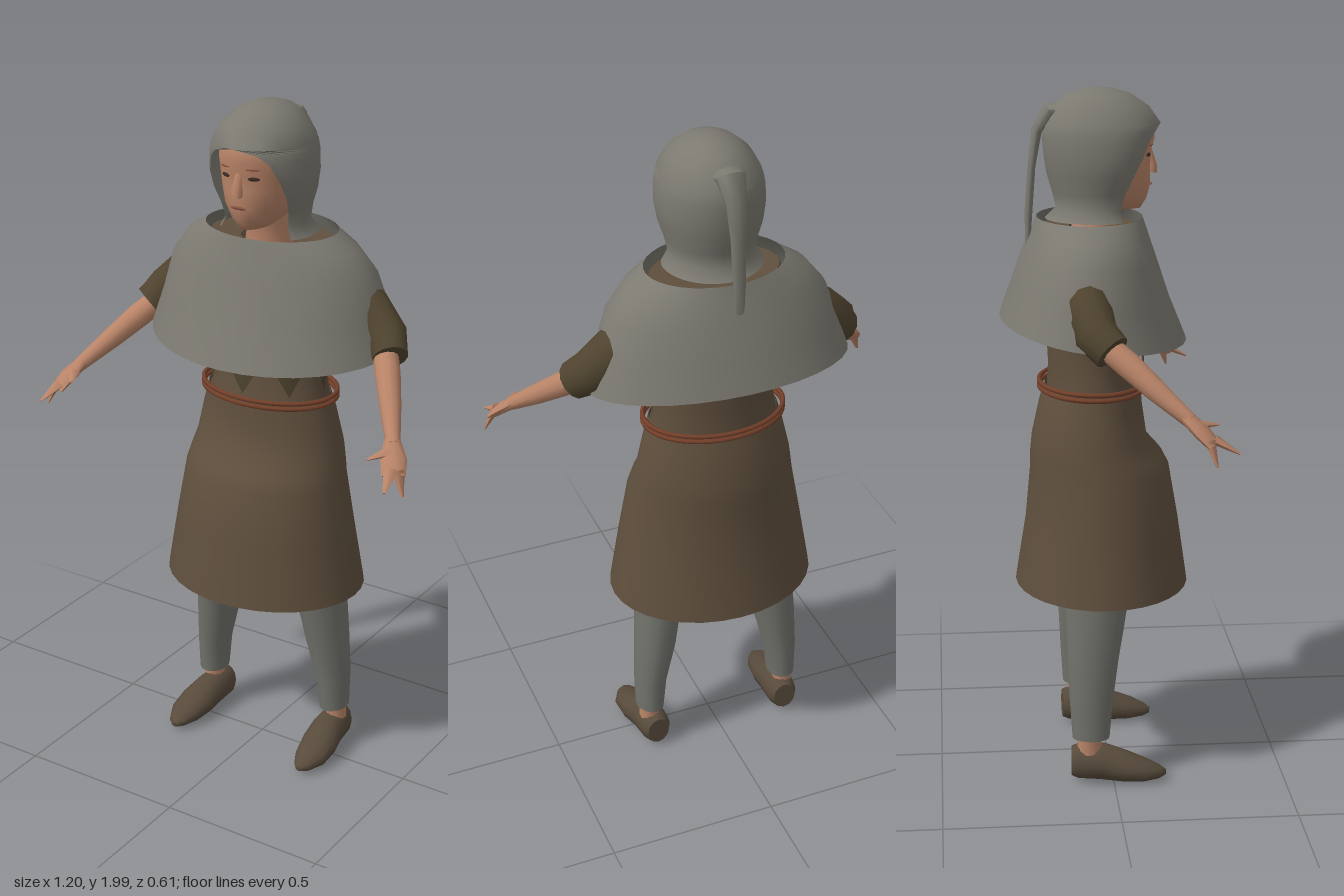
import * as THREE from 'three';
import { toCreasedNormals } from 'three/addons/utils/BufferGeometryUtils.js';

const V = (x, y, z) => new THREE.Vector3(x, y, z);

function material(name, color) {
  const m = new THREE.MeshStandardMaterial({ color, side: THREE.DoubleSide });
  m.name = name;
  return m;
}

// Skin a surface over rows of points; closed rows wrap around.
function loft(rows, closed = true, crease = 1.0) {
  const n = rows[0].length, pos = [], idx = [];
  rows.forEach(r => r.forEach(p => pos.push(p.x, p.y, p.z)));
  const tri = (a, b, c) => {
    const [p, q, r] = [a, b, c].map(i => V().fromArray(pos, i * 3));
    if (q.sub(p).cross(r.sub(p)).length() > 1e-9) idx.push(a, b, c);
  };
  for (let j = 0; j < rows.length - 1; j++) {
    for (let i = 0; i < (closed ? n : n - 1); i++) {
      const k = (i + 1) % n, a = j * n + i, b = j * n + k;
      tri(a, b, a + n);
      tri(b, b + n, a + n);
    }
  }
  const g = new THREE.BufferGeometry();
  g.setAttribute('position', new THREE.Float32BufferAttribute(pos, 3));
  g.setIndex(idx);
  return toCreasedNormals(g, crease);
}

// Horizontal oval with its own front and back depth; open leaves a gap at the front.
function oval([y, cz, rx, front, back, open = 0, tilt = 0], n = 32, closed = true) {
  return Array.from({ length: n }, (_, i) => {
    const a = open + (i / (closed ? n : n - 1)) * (2 * Math.PI - 2 * open);
    const c = Math.cos(a);
    return V(rx * Math.sin(a), y - tilt * c, cz + (c > 0 ? front : back) * c);
  });
}
const body = (specs) => loft(specs.map(s => oval(s)));

// Tapered limb along points [x, y, z, radius1, radius2], with closed ends.
function limb(points, ref, n = 12) {
  const p = points.map(q => V(q[0], q[1], q[2]));
  const rows = p.map((c, i) => {
    const t = p[Math.min(i + 1, p.length - 1)].clone().sub(p[Math.max(i - 1, 0)]).normalize();
    const s = ref.clone().cross(t).normalize(), u = t.clone().cross(s);
    return Array.from({ length: n }, (_, k) => {
      const a = (k / n) * 2 * Math.PI;
      return c.clone().addScaledVector(s, Math.cos(a) * points[i][3])
        .addScaledVector(u, Math.sin(a) * points[i][4]);
    });
  });
  rows.unshift(Array(n).fill(p[0]));
  rows.push(Array(n).fill(p[p.length - 1]));
  return loft(rows);
}

export function createModel() {
  const model = new THREE.Group();
  model.name = 'hoodedFigure';
  const grey = material('grey wool', 0x7b7970);
  const brown = material('brown tunic', 0x5f4f3d);
  const dark = material('dark brown sleeve', 0x50442f);
  const skin = material('skin', 0xb98468);
  const hose = material('grey hose', 0x72726c);
  const leather = material('shoe leather', 0x584b3c);
  const red = material('belt leather', 0x74402a);
  const eyeDark = material('eye', 0x3a2a24);
  const lip = material('lip', 0x84503f);
  const add = (name, geometry, mat) => {
    const m = new THREE.Mesh(geometry, mat);
    m.name = name;
    model.add(m);
    return m;
  };
  const X = V(1, 0, 0), Y = V(0, 1, 0);

  // Tunic: skirt and torso
  add('tunicSkirt', body([
    [0.565, -0.02, 0.308, 0.255, 0.25], [0.75, -0.02, 0.277, 0.228, 0.22],
    [0.91, -0.02, 0.248, 0.2, 0.205], [0.95, -0.03, 0.24, 0.19, 0.195],
    [1.0, -0.04, 0.23, 0.155, 0.18], [1.1, -0.04, 0.207, 0.14, 0.158],
    [1.16, -0.04, 0.19, 0.135, 0.14],
  ]), brown);
  add('tunicTorso', body([
    [1.14, -0.04, 0.188, 0.13, 0.135], [1.22, -0.04, 0.175, 0.11, 0.13],
    [1.32, -0.04, 0.18, 0.11, 0.135], [1.45, -0.05, 0.21, 0.12, 0.13],
    [1.56, -0.05, 0.21, 0.12, 0.13], [1.615, -0.05, 0.185, 0.13, 0.13],
    [1.61, -0.04, 0.085, 0.075, 0.07],
  ]), brown);

  // Pointed lining hanging below the cape at the front
  const liningRows = [[1.18, -0.04, 0.185, 0.145, 0.14], [1.32, -0.04, 0.19, 0.15, 0.14],
    [1.42, -0.05, 0.215, 0.15, 0.14]].map(s => oval(s, 32));
  liningRows[0].forEach((p, i) => {
    if (i % 4) p.y = i % 4 === 2 ? 1.3 : 1.24;
    if (p.z < -0.04) p.y = 1.31;
  });
  add('pointedLining', loft(liningRows), dark);

  // Double belt cord
  [1.15, 1.166].forEach((y, i) => {
    const pts = oval([y, -0.04, 0.208, 0.148, 0.156], 24);
    const curve = new THREE.CatmullRomCurve3(pts, true);
    add('beltCord' + (i + 1), new THREE.TubeGeometry(curve, 48, 0.007, 6, true), red);
  });

  // Shoulder cape, lower at the front than at the back
  add('shoulderCape', body([
    [1.325, -0.08, 0.385, 0.305, 0.228, 0, 0.033], [1.43, -0.075, 0.35, 0.252, 0.2, 0, 0.02],
    [1.53, -0.065, 0.32, 0.205, 0.178, 0, 0.008], [1.6, -0.055, 0.265, 0.168, 0.16],
    [1.64, -0.05, 0.2, 0.15, 0.15],
  ]), grey);

  // Neck, head and nose
  add('neck', limb([[0, 1.56, -0.04, 0.075, 0.075], [0, 1.64, -0.03, 0.06, 0.06],
    [0, 1.72, -0.01, 0.06, 0.06]], X), skin);
  add('head', body([
    [1.655, 0.02, 0.002, 0.03, 0.002], [1.662, 0.01, 0.04, 0.085, 0.04],
    [1.69, 0, 0.07, 0.112, 0.08], [1.73, 0, 0.093, 0.122, 0.1], [1.78, 0, 0.106, 0.122, 0.12],
    [1.82, 0, 0.112, 0.122, 0.13], [1.86, 0, 0.112, 0.134, 0.13],
    [1.91, 0, 0.1, 0.125, 0.12], [1.95, 0, 0.05, 0.06, 0.06],
  ]), skin);
  add('nose', limb([[0, 1.83, 0.115, 0.009, 0.009], [0, 1.78, 0.127, 0.014, 0.017],
    [0, 1.762, 0.124, 0.018, 0.014]], X, 8), skin);

  // Eyes, brows and mouth as thin plates
  const plate = (name, w, h, x, y, z, mat, turn = 0) => {
    const m = add(name, new THREE.SphereGeometry(1, 12, 6), mat);
    m.scale.set(w / 2, h / 2, 0.004);
    m.position.set(x, y, z);
    m.rotation.y = turn;
  };
  for (const s of [-1, 1]) {
    plate('eye', 0.034, 0.011, s * 0.045, 1.815, 0.112, eyeDark, s * 0.4);
    plate('brow', 0.042, 0.005, s * 0.045, 1.842, 0.118, lip, s * 0.4);
  }
  plate('mouth', 0.05, 0.009, 0, 1.73, 0.122, lip);

  // Hood: open around the face, closed above the brow
  add('hood', loft([
    [1.635, -0.03, 0.142, 0.11, 0.145, 0.95], [1.665, -0.03, 0.12, 0.11, 0.115, 1.0],
    [1.71, -0.02, 0.128, 0.12, 0.135, 1.05], [1.76, -0.015, 0.143, 0.14, 0.155, 0.98],
    [1.81, -0.01, 0.15, 0.15, 0.168, 0.85], [1.86, -0.01, 0.147, 0.158, 0.172, 0.7],
    [1.885, -0.01, 0.142, 0.16, 0.17, 0.5], [1.9, -0.01, 0.137, 0.16, 0.165, 0],
    [1.945, -0.01, 0.112, 0.128, 0.145], [1.98, -0.015, 0.072, 0.082, 0.1],
    [1.995, -0.02, 0.035, 0.04, 0.05], [2.0, -0.025, 0, 0, 0],
  ].map(s => oval(s, 33, false)), false, 1.2), grey);

  // Long tail hanging from the back of the hood
  add('hoodTail', limb([
    [0, 1.93, -0.12, 0.03, 0.055], [0, 1.935, -0.16, 0.025, 0.042], [0, 1.88, -0.197, 0.015, 0.03],
    [0, 1.78, -0.212, 0.011, 0.022], [0, 1.65, -0.222, 0.011, 0.018], [0, 1.53, -0.225, 0.006, 0.012],
  ], X, 10), grey);

  for (const s of [1, -1]) {
    const side = s > 0 ? 'left' : 'right';
    const part = (name, pts, ref, mat, n) =>
      add(side + name, limb(pts.map(([x, ...r]) => [s * x, ...r]), ref, n), mat);

    // Sleeve, forearm and hand
    part('Sleeve', [[0.19, 1.5, -0.07, 0.07, 0.08], [0.3, 1.43, -0.075, 0.065, 0.075],
      [0.37, 1.375, -0.06, 0.058, 0.065], [0.405, 1.335, -0.02, 0.05, 0.055]], Y, dark);
    part('Forearm', [[0.37, 1.36, -0.05, 0.035, 0.035], [0.42, 1.305, 0.02, 0.036, 0.036],
      [0.47, 1.245, 0.09, 0.03, 0.03], [0.528, 1.175, 0.175, 0.02, 0.02]], Y, skin);
    part('Palm', [[0.52, 1.185, 0.165, 0.022, 0.018], [0.548, 1.148, 0.205, 0.036, 0.017],
      [0.565, 1.115, 0.235, 0.032, 0.012]], Y, skin, 8);
    const tips = [[0.597, 1.065, 0.24], [0.575, 1.095, 0.302], [0.495, 1.155, 0.255]];
    tips.forEach((tip, i) => {
      const base = i === 2 ? [0.53, 1.165, 0.195] : [0.557 + 0.014 * (1 - i), 1.13, 0.222 + 0.015 * i];
      part(i === 2 ? 'Thumb' : 'Fingers' + (i + 1),
        [[...base, 0.02, 0.013], [...tip, 0.004, 0.003]], Y, skin, 6);
    });

    // Hose, ankle and shoe
    part('Leg', [[0.22, 0.145, -0.065, 0.054, 0.042], [0.216, 0.25, -0.064, 0.062, 0.048],
      [0.197, 0.38, -0.058, 0.075, 0.062], [0.188, 0.46, -0.052, 0.083, 0.066],
      [0.17, 0.57, -0.045, 0.095, 0.076], [0.14, 0.78, -0.03, 0.11, 0.09]], X, hose, 16);
    part('Ankle', [[0.225, 0.07, -0.07, 0.035, 0.03], [0.222, 0.16, -0.07, 0.035, 0.03]], X, skin, 10);
    part('Shoe', [[0.213, 0.07, -0.122, 0.035, 0.045], [0.214, 0.07, -0.1, 0.046, 0.053],
      [0.218, 0.067, -0.03, 0.05, 0.054], [0.225, 0.053, 0.03, 0.056, 0.044],
      [0.23, 0.04, 0.09, 0.05, 0.032], [0.228, 0.032, 0.135, 0.028, 0.018],
      [0.226, 0.03, 0.153, 0.01, 0.008]], Y, leather, 12);
  }
  // Rest the soles on the ground
  const box = new THREE.Box3().setFromObject(model);
  model.children.forEach(c => { c.position.y -= box.min.y; });
  return model;
}
